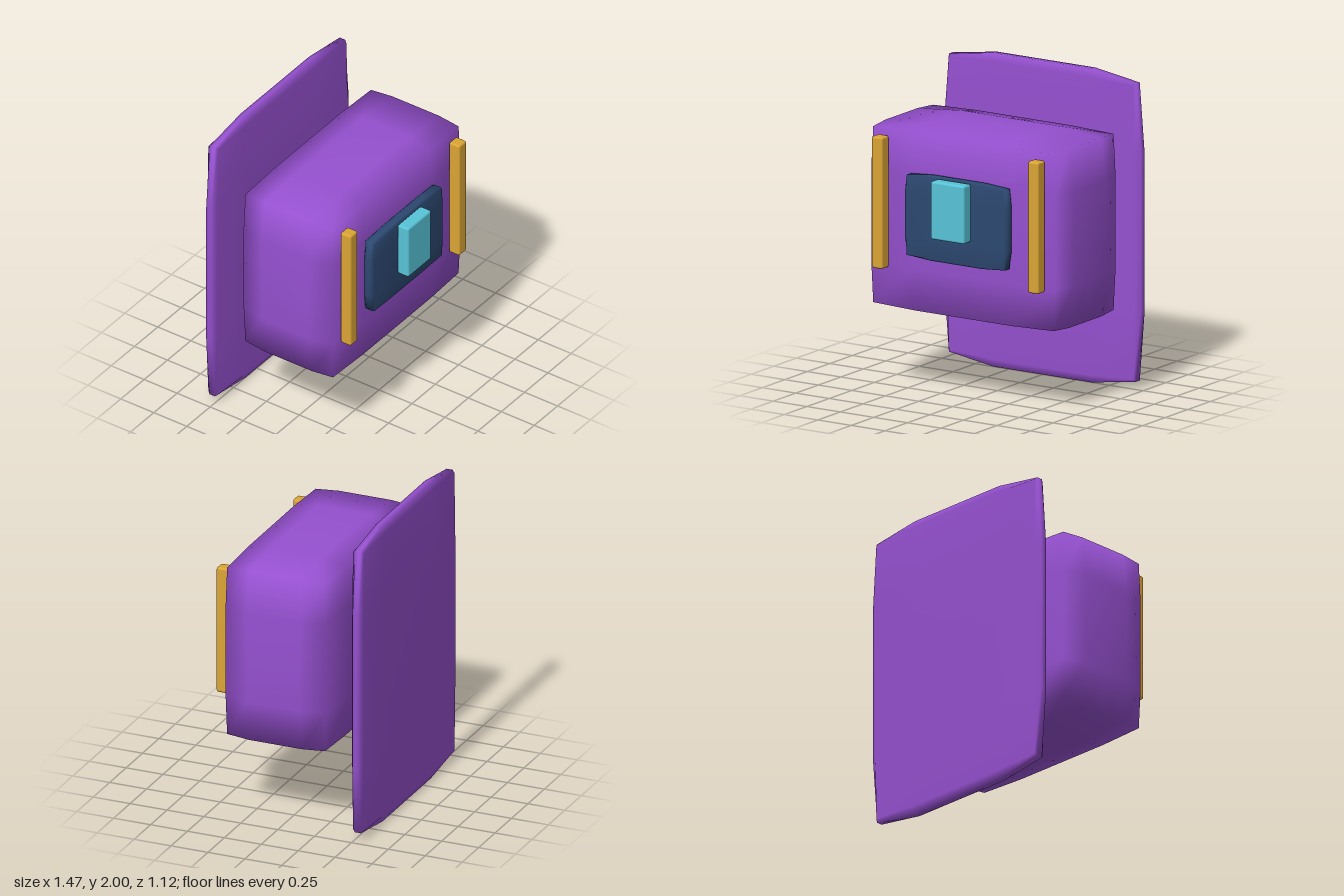
import * as THREE from 'three';
import { mergeVertices } from 'three/addons/utils/BufferGeometryUtils.js';
import { RoundedBoxGeometry } from 'three/addons/geometries/RoundedBoxGeometry.js';

const PURPLE = 0x9550cf, NAVY = 0x2c4870, GOLD = 0xdba535, CYAN = 0x58c4d8;

// Box whose edges and corners are drawn in, shaded smoothly all round
function pillowBox(w, h, d) {
  const box = new THREE.BoxGeometry(2, 2, 2, 4, 4, 4);
  box.deleteAttribute('uv');
  box.deleteAttribute('normal');
  const geo = mergeVertices(box);
  const pos = geo.attributes.position;
  const v = new THREE.Vector3();
  const pull = [1, 1, 0.95, 0.935];
  for (let i = 0; i < pos.count; i++) {
    v.fromBufferAttribute(pos, i);
    const sides = v.toArray().filter((c) => Math.abs(c) > 0.99).length;
    // only the outer coordinates move inwards
    const p = v.toArray().map((c) => (Math.abs(c) > 0.99 ? c * pull[sides] : c));
    pos.setXYZ(i, p[0] * w / 2, p[1] * h / 2, p[2] * d / 2);
  }
  geo.computeVertexNormals();
  return geo;
}

export function createModel() {
  const group = new THREE.Group();
  const add = (name, geo, color, x, y, z) => {
    const mesh = new THREE.Mesh(geo, new THREE.MeshStandardMaterial({ color }));
    mesh.name = name;
    mesh.position.set(x, y, z);
    group.add(mesh);
  };

  // Tall thin plate standing behind the body
  add('backPlate', pillowBox(1.47, 2, 0.08), PURPLE, 0, 1, -0.52);

  // Main body and its front panel
  add('body', pillowBox(1.44, 1.2, 0.71), PURPLE, 0, 1.11, 0.045);
  add('frontPanel', pillowBox(0.77, 0.54, 0.08), NAVY, 0, 1.165, 0.435);

  // Raised block on the panel
  add('panelBlock', new RoundedBoxGeometry(0.25, 0.37, 0.085, 2, 0.014), CYAN, 0, 1.247, 0.518);

  // Vertical bars either side of the panel
  for (const s of [-1, 1]) {
    add(s > 0 ? 'leftBar' : 'rightBar',
      new RoundedBoxGeometry(0.08, 0.84, 0.08, 2, 0.014), GOLD, s * 0.582, 1.214, 0.435);
  }
  return group;
}
